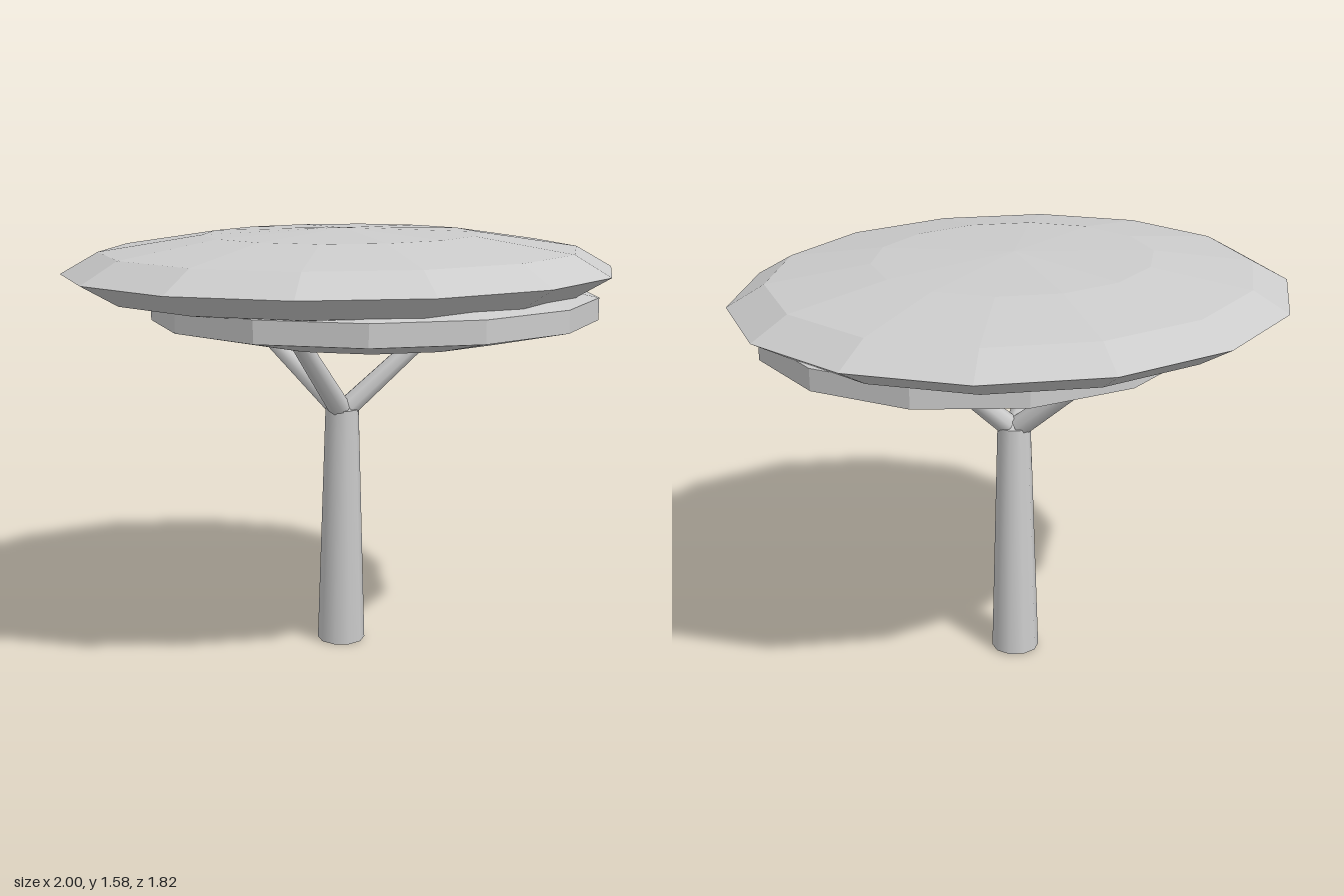
import * as THREE from 'three';

const barkMaterial = new THREE.MeshStandardMaterial({ color: 0xcccccc });
const leafMaterial = new THREE.MeshStandardMaterial({ color: 0xcccccc, flatShading: true });

// Tapered round limb running between two points
function limb(name, from, to, r0, r1, sides) {
  const a = new THREE.Vector3(...from);
  const b = new THREE.Vector3(...to);
  const axis = b.clone().sub(a);
  const mesh = new THREE.Mesh(new THREE.CylinderGeometry(r1, r0, axis.length(), sides), barkMaterial);
  mesh.position.copy(a).add(b).multiplyScalar(0.5);
  mesh.quaternion.setFromUnitVectors(new THREE.Vector3(0, 1, 0), axis.normalize());
  mesh.name = name;
  return mesh;
}

// Flattened low-poly ellipsoid of foliage
function canopy(name, center, radii, sides, rings, start) {
  const geometry = new THREE.SphereGeometry(1, sides, rings, start);
  geometry.scale(...radii);
  const mesh = new THREE.Mesh(geometry, leafMaterial);
  mesh.position.set(...center);
  mesh.name = name;
  return mesh;
}

export function createModel() {
  const tree = new THREE.Group();
  tree.name = 'flatToppedTree';

  // Leaning trunk
  tree.add(limb('trunk', [0.01, 0.004, -0.04], [0, 0.915, 0], 0.09, 0.062, 10));

  // Three branches forking out of the trunk top into the lower canopy
  const tips = [[0.37, 1.24, 0.07], [-0.27, 1.24, 0.27], [-0.27, 1.24, -0.29]];
  tips.forEach((tip, i) => {
    const root = [tip[0] * 0.06, 0.92, tip[2] * 0.06];
    tree.add(limb('branch' + (i + 1), root, tip, 0.041, 0.032, 8));
  });

  // Two overlapping foliage layers
  tree.add(canopy('lowerCanopy', [0.1, 1.305, 0.085], [0.86, 0.13, 0.8], 13, 5, Math.PI));
  tree.add(canopy('upperCanopy', [0, 1.43, 0], [1.025, 0.155, 0.91], 14, 6, Math.PI / 2));
  return tree;
}
